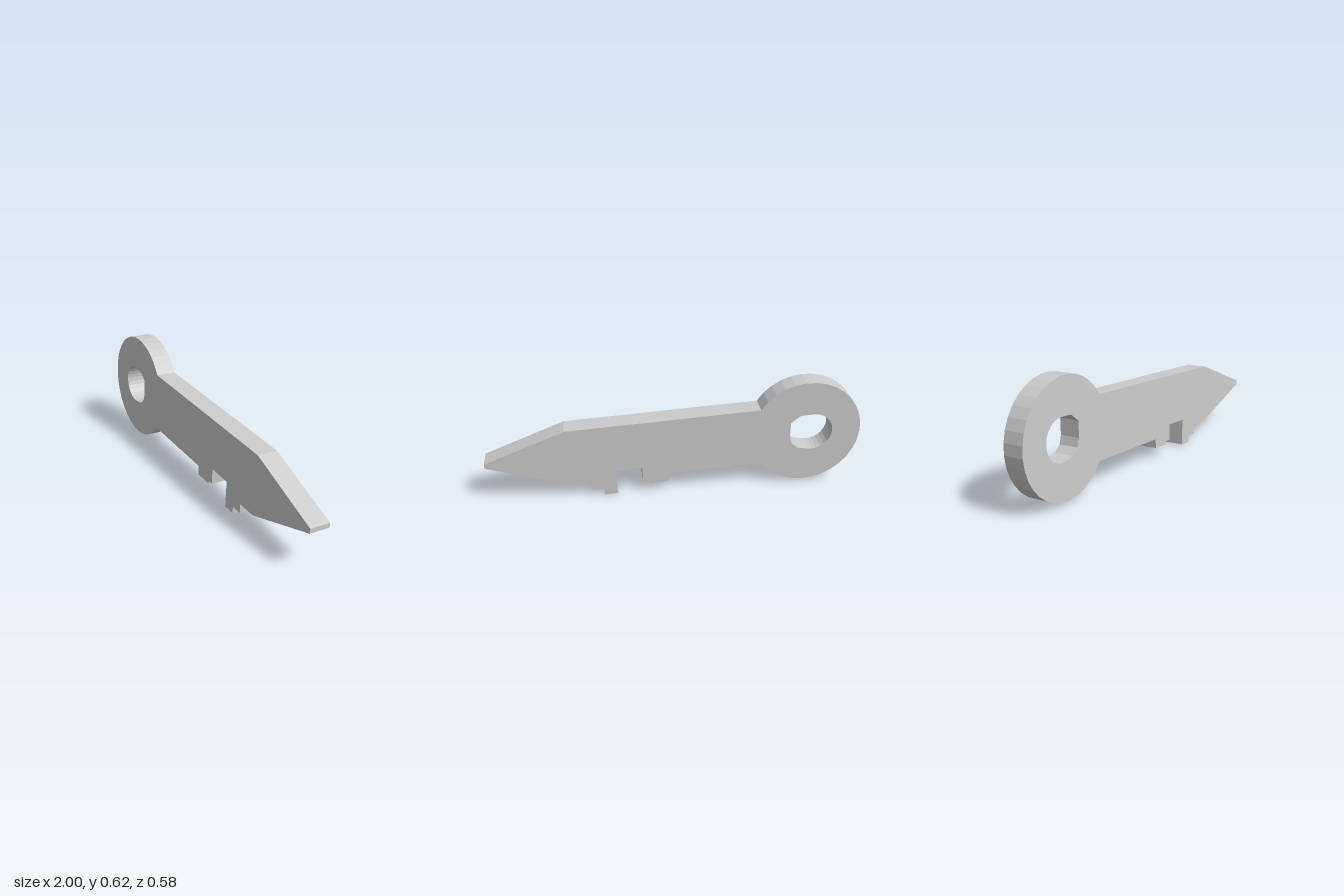
import * as THREE from 'three';

const YAW = Math.atan(0.2365), TILT = 0.027, DEPTH = 0.11;
const STRETCH = 1 / Math.cos(YAW); // outline x is given as seen from the front

// Points on a circular arc, ends included
function arc(cx, cy, r, from, to, n) {
  const pts = [];
  for (let i = 0; i <= n; i++) {
    const a = from + (to - from) * i / n;
    pts.push(new THREE.Vector2(cx + r * Math.cos(a), cy + r * Math.sin(a)));
  }
  return pts;
}

const toPoints = list => list.map(([x, y]) => new THREE.Vector2(x * STRETCH, y));

export function createModel() {
  const group = new THREE.Group();
  const cx = -0.707 * STRETCH, cy = 0.321, r = 0.302;

  // Blade: lower edge with the two stepped teeth, point, then upper edge
  const blade = toPoints([
    [0.025, 0.116], [0.027, 0.065], [0.128, 0.059], [0.13, 0.077], [0.163, 0.075],
    [0.167, 0.163], [0.305, 0.156], [0.3, 0.009], [0.37, 0.005], [0.372, 0.043],
    [0.434, 0.039], [0.436, 0.092], [0.545, 0.087],
    [0.975, 0.227], [0.975, 0.252], [0.56, 0.422],
  ]);

  // Round bow, from the upper neck corner round to the lower one
  const bow = arc(cx, cy, r, Math.atan2(0.154, 0.257), Math.PI * 2 - Math.atan2(0.179, 0.241), 27);
  const outline = new THREE.Shape([...bow, ...blade]);

  // Hole: round on the left, flattened on the right
  const hole = [
    ...arc(-0.743 * STRETCH, 0.323, 0.109, Math.PI * 0.45, Math.PI * 1.55, 16),
    ...toPoints([[-0.67, 0.225], [-0.634, 0.256], [-0.621, 0.3], [-0.62, 0.385], [-0.67, 0.426]]),
  ];
  outline.holes.push(new THREE.Path(hole));

  const geometry = new THREE.ExtrudeGeometry(outline, { depth: DEPTH, bevelEnabled: false });
  geometry.translate(0, 0, -DEPTH);

  const key = new THREE.Mesh(geometry, new THREE.MeshStandardMaterial({ color: 0xcccccc, flatShading: true }));
  key.name = 'keyBody';
  // Turned about the vertical and leaning back slightly
  key.rotation.set(-TILT, -YAW, 0, 'YXZ');
  key.position.set(-0.001, 0, 0.063);
  group.add(key);
  group.name = 'key';
  return group;
}
